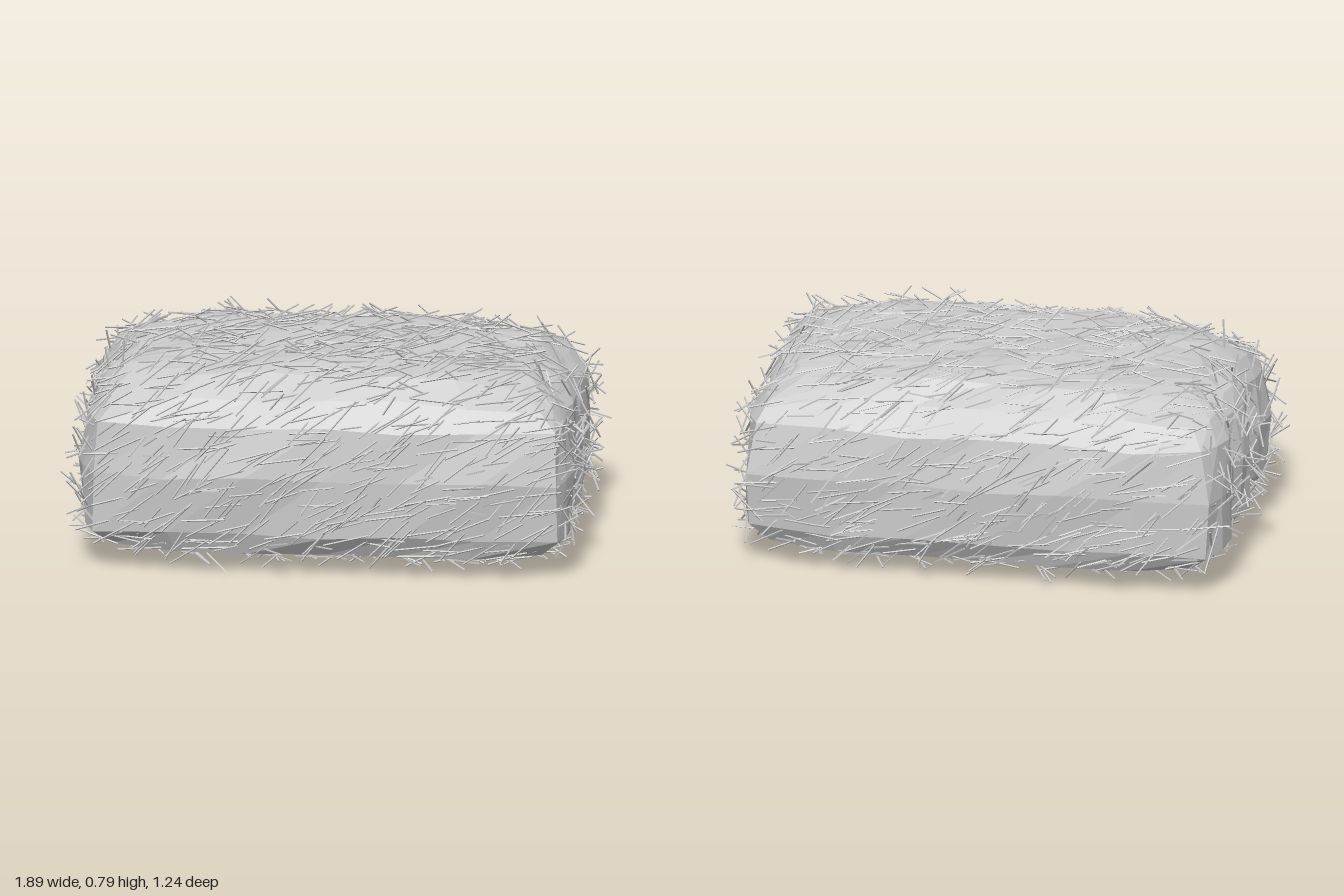
import * as THREE from 'three';
import { mergeGeometries } from 'three/addons/utils/BufferGeometryUtils.js';

// Seeded random numbers
function makeRandom(seed) {
  let s = seed;
  return () => (s = (s * 16807) % 2147483647) / 2147483647;
}

// Half sections of the bale from bottom to top: height, half depth, half length
const LEVELS = [
  [0.12, 0.50, 0.78],
  [0.20, 0.545, 0.835],
  [0.41, 0.56, 0.845],
  [0.59, 0.53, 0.825],
  [0.70, 0.465, 0.775],
  [0.768, 0.37, 0.68],
];

// Small repeatable unevenness, the same for coincident corners
const wobble = (a, b, c) => Math.sin(a * 7.1 + b * 11.3 + c * 5.7) * 0.008;

// Box whose corners are moved to a packed, bulging bale shape
function baleGeometry() {
  const box = new THREE.BoxGeometry(2, 2, 2, 6, LEVELS.length - 1, 12);
  const p = box.attributes.position;
  for (let i = 0; i < p.count; i++) {
    const u = p.getX(i), v = p.getY(i), w = p.getZ(i);
    const level = Math.round((v + 1) / 2 * (LEVELS.length - 1));
    const [h, halfZ, halfX] = LEVELS[level];
    let x = u * halfX, y = h, z = w * halfZ;
    if (Math.abs(u) > 0.99) {
      // Three lobes at each end, with deeper grooves at the -x end
      const lobe = Math.abs(Math.cos(1.5 * Math.PI * w));
      x += u > 0 ? 0.035 * lobe : 0.025 - 0.055 * lobe;
      z *= 0.95;
      if (level === 0) y += 0.015 + 0.02 * lobe;
    }
    // The crown sinks towards its rim
    if (level >= LEVELS.length - 2) y -= 0.02 * w ** 4 + 0.035 * u ** 4;
    if (level > 0) y += wobble(u, v, w);
    p.setXYZ(i, x + wobble(w, u, v), y, z - 0.015 + wobble(v, w, u));
  }
  const flat = box.toNonIndexed();
  flat.computeVertexNormals();
  return flat;
}

// Straws scattered over every facet of the bale
function strawGeometry(bale) {
  const random = makeRandom(4711);
  const spread = (r) => (random() * 2 - 1) * r;
  const p = bale.attributes.position;
  const tri = new THREE.Triangle();
  const normal = new THREE.Vector3(), around = new THREE.Vector3();
  const along = new THREE.Vector3(), dir = new THREE.Vector3();
  const center = new THREE.Vector3(), tip = new THREE.Vector3();
  const axisX = new THREE.Vector3(1, 0, 0), axisY = new THREE.Vector3(0, 1, 0);
  const turn = new THREE.Quaternion(), matrix = new THREE.Matrix4();
  const size = new THREE.Vector3();
  const stick = new THREE.CylinderGeometry(0.0035, 0.0035, 1, 4);
  const straws = [];
  const inside = (q) => Math.abs(q.x) < 1 && q.y > 0 && q.y < 0.84 && Math.abs(q.z) < 0.66;

  for (let i = 0; i < p.count; i += 3) {
    tri.setFromAttributeAndIndices(p, i, i + 1, i + 2);
    tri.getNormal(normal);
    const onEnd = Math.abs(normal.x) > 0.6;
    const count = Math.floor(tri.getArea() * (onEnd ? 210 : 300) + random());
    for (let k = 0; k < count; k++) {
      let a = random(), b = random();
      if (a + b > 1) { a = 1 - a; b = 1 - b; }
      center.copy(tri.a).multiplyScalar(1 - a - b)
        .addScaledVector(tri.b, a).addScaledVector(tri.c, b);
      // Long faces: straws wind round the bale; ends: any direction
      around.crossVectors(normal, onEnd ? axisY : axisX).normalize();
      along.crossVectors(around, normal);
      const angle = onEnd ? spread(Math.PI) : 0.5 + spread(0.5);
      // Some straws stand off the surface
      const lift = onEnd ? spread(0.9) : spread(random() < 0.3 ? 0.9 : 0.35);
      dir.copy(along).multiplyScalar(Math.cos(angle))
        .addScaledVector(around, Math.sin(angle))
        .addScaledVector(normal, lift).normalize();
      const length = 0.12 + random() * 0.07;
      center.addScaledVector(normal, 0.003 + random() * 0.01);
      if (!inside(tip.copy(center).addScaledVector(dir, length / 2))) continue;
      if (!inside(tip.copy(center).addScaledVector(dir, -length / 2))) continue;
      turn.setFromUnitVectors(axisY, dir);
      matrix.compose(center, turn, size.set(1, length, 1));
      straws.push(stick.clone().applyMatrix4(matrix));
    }
  }
  return mergeGeometries(straws);
}

export function createModel() {
  const model = new THREE.Group();
  model.name = 'hayBale';
  const material = new THREE.MeshStandardMaterial({ color: 0xcccccc, flatShading: true });

  const bale = new THREE.Mesh(baleGeometry(), material);
  bale.name = 'baleBody';
  const straws = new THREE.Mesh(strawGeometry(bale.geometry), material);
  straws.name = 'looseStraws';

  model.add(bale, straws);
  return model;
}
